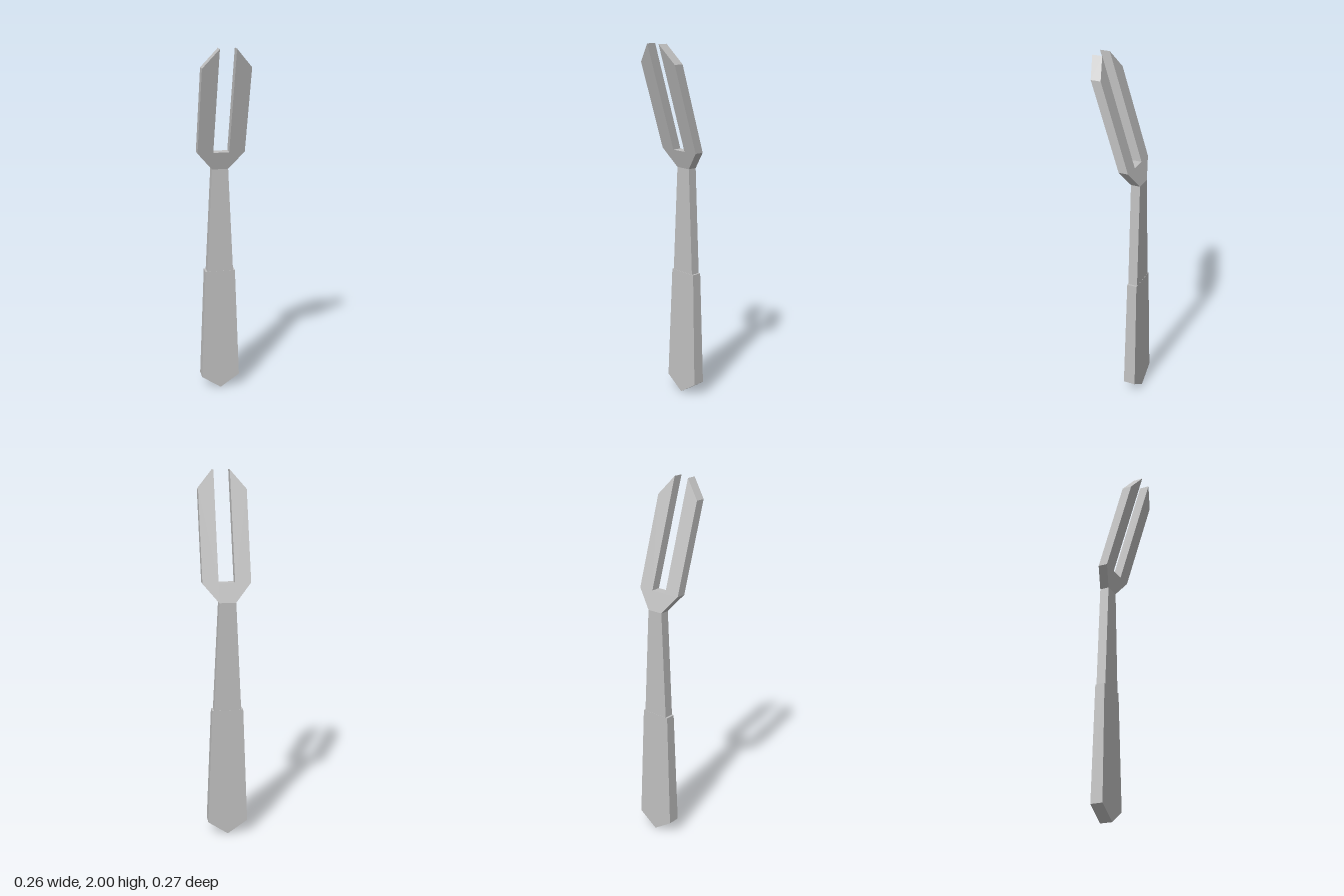
import * as THREE from 'three';

const lerp = THREE.MathUtils.lerp;

// Flat plate from a front outline; its back and front z run linearly from height y0 to y1
function plate(name, outline, material, y0, [back0, front0], y1, [back1, front1]) {
  const shape = new THREE.Shape(outline.map(([x, y]) => new THREE.Vector2(x, y)));
  const geometry = new THREE.ExtrudeGeometry(shape, { depth: 1, bevelEnabled: false });
  const p = geometry.attributes.position;
  for (let i = 0; i < p.count; i++) {
    const t = (p.getY(i) - y0) / (y1 - y0);
    p.setZ(i, lerp(lerp(back0, back1, t), lerp(front0, front1, t), p.getZ(i)));
  }
  geometry.computeVertexNormals();
  const mesh = new THREE.Mesh(geometry, material);
  mesh.name = name;
  return mesh;
}

// Complete a right-half outline (bottom to top) with its mirrored half
function mirrored(half) {
  const other = half.filter(([x]) => x > 0).reverse().map(([x, y]) => [-x, y]);
  return [...half, ...other];
}

export function createModel() {
  const group = new THREE.Group();
  group.name = 'fork';
  const steel = new THREE.MeshStandardMaterial({ color: 0xc0c0c0 });
  steel.name = 'steel grey';

  // Handle with a pointed butt, thinning upward
  const grip = mirrored([[0, 0], [0.11, 0.075], [0.085, 0.73]]);
  group.add(plate('handle', grip, steel, 0, [-0.138, -0.068], 0.73, [-0.132, -0.077]));

  // Tapered neck
  const neck = mirrored([[0.074, 0.73], [0.045, 1.325]]);
  group.add(plate('neck', neck, steel, 0.73, [-0.131, -0.078], 1.325, [-0.13, -0.078]));

  // Forward-leaning head: flared shoulder and two bevelled prongs
  const head = mirrored([[0.045, 1.325], [0.13, 1.425], [0.13, 1.9], [0.044, 2], [0.044, 1.425]]);
  group.add(plate('prongedHead', head, steel, 1.325, [-0.13, -0.078], 2, [0.082, 0.137]));

  return group;
}
